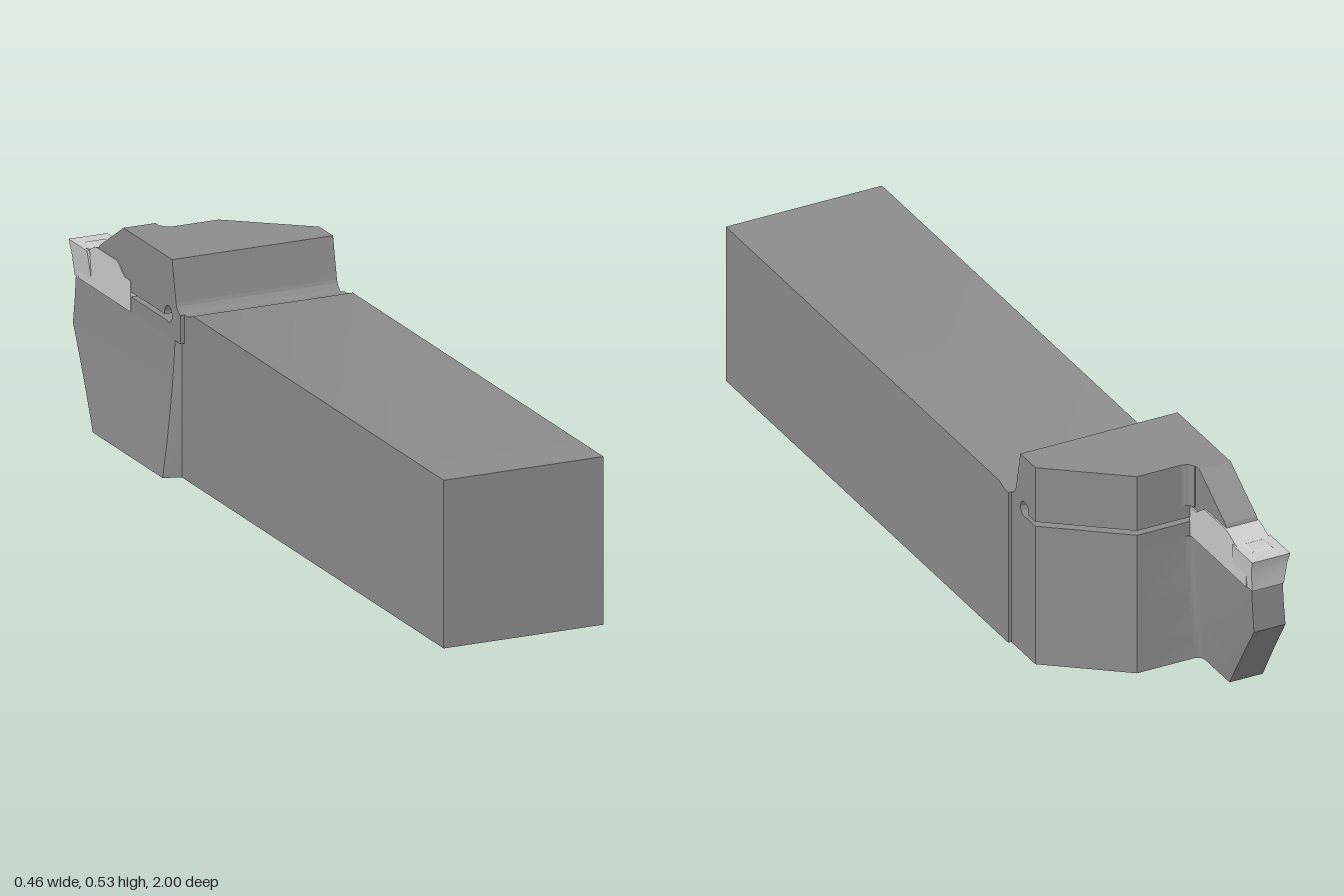
import * as THREE from 'three';
import { toCreasedNormals } from 'three/addons/utils/BufferGeometryUtils.js';

const steel = new THREE.MeshStandardMaterial({ color: 0x8c8c8c });
const carbide = new THREE.MeshStandardMaterial({ color: 0xcccccc });

// Solid from plan outlines [x, z] stacked at heights y, capped at both ends
function loft(rings) {
  const levels = rings.map(({ y, plan }) => {
    const flat = plan.map(([x, z]) => new THREE.Vector2(x, -z));
    if (THREE.ShapeUtils.area(flat) < 0) flat.reverse();
    return { y, flat };
  });
  const n = levels[0].flat.length;
  const pos = [];
  const put = (k, i) => pos.push(levels[k].flat[i].x, levels[k].y, -levels[k].flat[i].y);
  for (let k = 0; k < levels.length - 1; k++) {
    for (let i = 0; i < n; i++) {
      const j = (i + 1) % n;
      put(k, i); put(k, j); put(k + 1, j);
      put(k, i); put(k + 1, j); put(k + 1, i);
    }
  }
  const last = levels.length - 1;
  for (const [a, b, c] of THREE.ShapeUtils.triangulateShape(levels[0].flat, [])) {
    put(0, c); put(0, b); put(0, a);
  }
  for (const [a, b, c] of THREE.ShapeUtils.triangulateShape(levels[last].flat, [])) {
    put(last, a); put(last, b); put(last, c);
  }
  const geo = new THREE.BufferGeometry();
  geo.setAttribute('position', new THREE.Float32BufferAttribute(pos, 3));
  return toCreasedNormals(geo, 0.5);
}

// Side profile [-z, y] extruded across the width from x0 to x1
function slab(shape, x0, x1) {
  const geo = new THREE.ExtrudeGeometry(shape, { depth: x1 - x0, bevelEnabled: false, curveSegments: 20 });
  geo.rotateY(Math.PI / 2).translate(x0, 0, 0);
  return toCreasedNormals(geo, 0.5);
}
const outline = (pts) => new THREE.Shape(pts.map(([u, y]) => new THREE.Vector2(u, y)));

export function createModel() {
  const group = new THREE.Group();
  const add = (name, geo, material = steel) => {
    const mesh = new THREE.Mesh(geo, material);
    mesh.name = name;
    group.add(mesh);
  };

  // Square shank, dipping into a relief groove at the head
  add('shank', slab(outline([
    [-1, 0], [0.41, 0], [0.41, 0.405], [0.395, 0.405], [0.38, 0.409], [0.365, 0.415], [-1, 0.415],
  ]), -0.187, 0.228));

  // Lower head and support blade, curving outward towards the bottom
  const seatY = 0.335, right = 0.22, left = -0.198;
  const lower = [0, 0.055, 0.11, 0.165, 0.22, 0.2775, seatY].map((y) => {
    const flare = 0.033 * Math.pow((0.36 - y) / 0.36, 1.5);
    const inner = -0.115 - flare * 0.8;
    const tip = -0.82 - 0.16 * Math.min(1, y / 0.22);
    const fillet = [];
    for (let i = 0; i <= 5; i++) {
      const a = Math.PI / 2 * (1 + i / 5);
      fillet.push([inner + 0.02 + 0.02 * Math.cos(a), -0.7 + 0.02 * Math.sin(a)]);
    }
    return {
      y,
      plan: [[-0.187, -0.41], [right, -0.41], [right, -0.53], [0.03, -0.68], ...fillet,
        [inner, tip], [left + 0.001 - flare, tip], [left + 0.001 - flare, -0.44], [-0.187, -0.425]],
    };
  });
  add('lowerHead', loft(lower));

  // Spring hinge with the clamping slot and its round relief hole
  const slot = [0.372, 0.384];
  const hinge = new THREE.Shape();
  hinge.moveTo(0.41, seatY);
  hinge.lineTo(0.53, seatY);
  hinge.lineTo(0.53, slot[0]);
  hinge.lineTo(0.4847, slot[0]);
  hinge.absarc(0.476, 0.39, 0.02, -1.12, -0.305, true);
  hinge.lineTo(0.53, slot[1]);
  hinge.lineTo(0.53, 0.53);
  hinge.lineTo(0.455, 0.53);
  hinge.lineTo(0.435, 0.435);
  hinge.quadraticCurveTo(0.43, 0.41, 0.41, 0.405);
  add('clampHinge', slab(hinge, left, right));

  // Chamfered head either side of the slot
  const wedge = [[left, -0.53], [right, -0.53], [0.03, -0.68], [left, -0.68]];
  for (const [name, y0, y1] of [['slotFloor', seatY, slot[0]], ['clampBody', slot[1], 0.53]]) {
    add(name, loft([{ y: y0, plan: wedge }, { y: y1, plan: wedge }]));
  }

  // Fillet between clamp body and finger
  const web = [[-0.12, -0.675], [-0.09, -0.68], [-0.104, -0.686], [-0.113, -0.7], [-0.12, -0.7]];
  add('clampFillet', loft([{ y: 0.42, plan: web }, { y: 0.53, plan: web }]));

  // Sloping finger pressing on the insert
  add('clampFinger', slab(outline([
    [0.67, slot[1]], [0.69, slot[1]], [0.71, 0.4], [0.75, 0.425], [0.862, 0.425],
    [0.85, 0.448], [0.72, 0.53], [0.67, 0.53],
  ]), left, -0.115));

  // Cutting insert body
  add('insertBody', slab(outline([
    [0.678, seatY], [0.96, seatY], [0.96, 0.415], [0.9, 0.424], [0.88, 0.434], [0.86, 0.44],
    [0.75, 0.44], [0.71, 0.412], [0.678, 0.412],
  ]), -0.2, -0.111), carbide);

  // Cutting tip, tapered downward, with a shallow chip pocket on top
  const rect = (x0, x1, z0, z1) => [[x0, z0], [x1, z0], [x1, z1], [x0, z1]];
  add('cuttingTip', loft([
    { y: seatY, plan: rect(-0.198, -0.114, -0.89, -0.985) },
    { y: 0.39, plan: rect(-0.204, -0.109, -0.895, -0.99) },
    { y: 0.421, plan: rect(-0.207, -0.106, -0.9, -1) },
    { y: 0.421, plan: rect(-0.185, -0.128, -0.91, -0.96) },
    { y: 0.424, plan: rect(-0.18, -0.133, -0.915, -0.955) },
  ]), carbide);

  return group;
}
